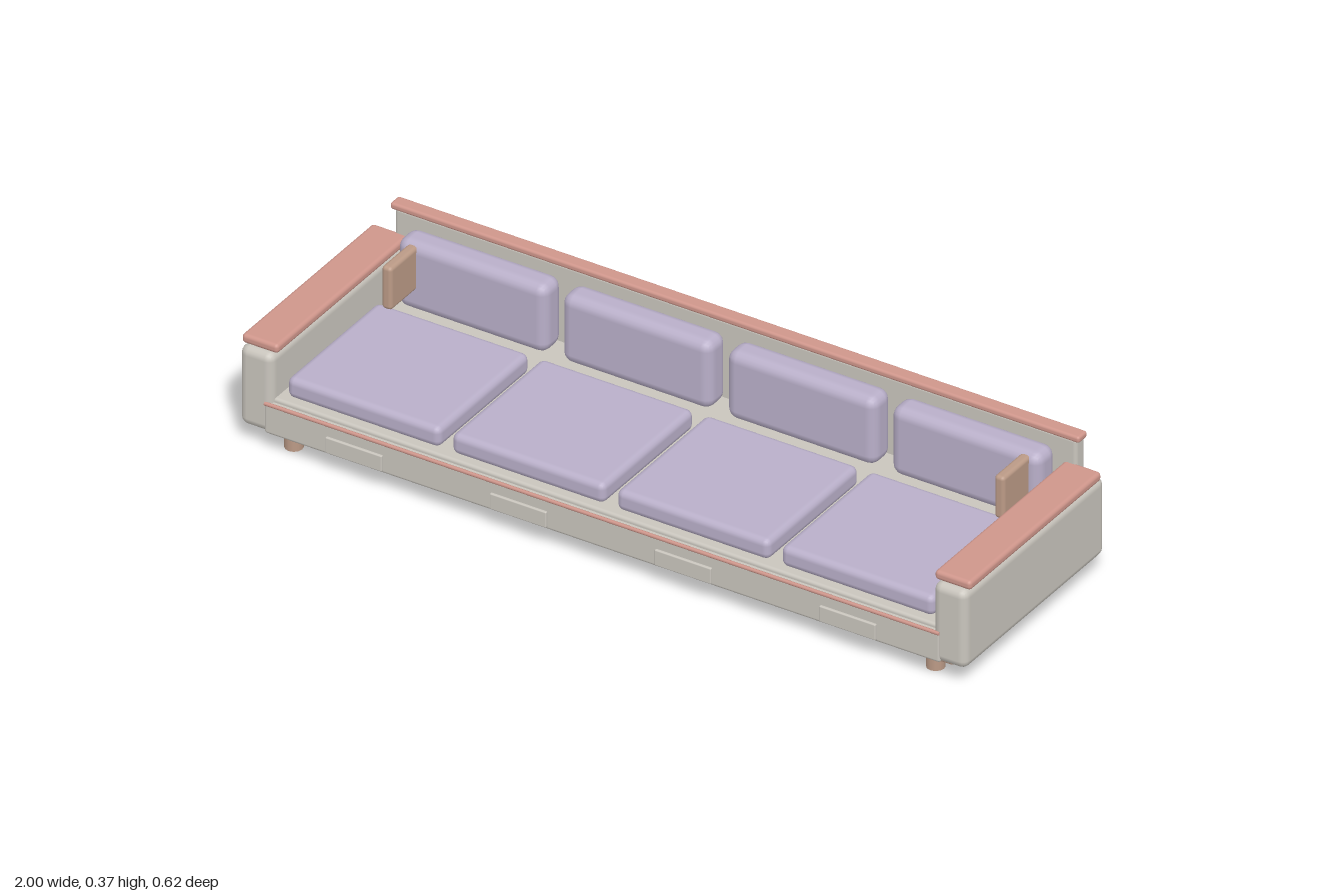
import * as THREE from 'three';
import { RoundedBoxGeometry } from 'three/addons/geometries/RoundedBoxGeometry.js';

const mat = (name, color) => {
  const m = new THREE.MeshStandardMaterial({ color });
  m.name = name;
  return m;
};

export function createModel() {
  const sofa = new THREE.Group();
  sofa.name = 'sofa';
  const fabric = mat('greyFabric', 0xc9c5bd);
  const rose = mat('roseTrim', 0xcf968b);
  const lavender = mat('lavenderCushion', 0xb9afc9);
  const wood = mat('wood', 0xbb9a86);

  // Rounded block given by its min and max on each axis
  const block = (name, material, [x0, x1], [y0, y1], [z0, z1], radius, segments = 2) => {
    const geo = new RoundedBoxGeometry(x1 - x0, y1 - y0, z1 - z0, segments, radius);
    const mesh = new THREE.Mesh(geo, material);
    mesh.name = name;
    mesh.position.set((x0 + x1) / 2, (y0 + y1) / 2, (z0 + z1) / 2);
    sofa.add(mesh);
    return mesh;
  };
  const around = (c, w) => [c - w / 2, c + w / 2];

  // Base, seat deck and plinth
  block('plinth', wood, [-0.94, 0.94], [0.03, 0.052], [-0.262, 0.268], 0.006);
  block('seatBase', fabric, [-0.927, 0.927], [0.052, 0.135], [-0.285, 0.305], 0.008);
  block('seatDeck', fabric, [-0.92, 0.92], [0.12, 0.146], [-0.28, 0.29], 0.008);

  // Piping along the front edge
  const piping = new THREE.Mesh(new THREE.CylinderGeometry(0.005, 0.005, 1.85, 8), rose);
  piping.name = 'frontPiping';
  piping.rotation.z = Math.PI / 2;
  piping.position.set(0, 0.133, 0.303);
  sofa.add(piping);

  // Backrest with its top rail
  block('backrest', fabric, [-0.935, 0.935], [0.085, 0.358], [-0.31, -0.272], 0.01);
  block('backRail', rose, [-0.945, 0.945], [0.352, 0.37], [-0.306, -0.268], 0.007);

  // Four seat cushions, back cushions and front panels
  for (const x of [-0.677, -0.226, 0.226, 0.677]) {
    block('seatCushion', lavender, around(x, 0.42), [0.144, 0.2], [-0.123, 0.271], 0.018);
    block('backCushion', lavender, around(x, 0.412), [0.146, 0.333], [-0.272, -0.194], 0.028);
    block('frontPanel', fabric, around(x, 0.155), [0.06, 0.103], [0.303, 0.312], 0.003);
  }

  for (const s of [-1, 1]) {
    const span = (a, b) => (s > 0 ? [a, b] : [-b, -a]);
    // Arm with a flat cap
    block('arm', fabric, span(0.905, 0.997), [0.052, 0.268], [-0.302, 0.304], 0.022);
    block('armCap', rose, span(0.9, 1), [0.265, 0.29], [-0.281, 0.287], 0.01);
    // Upright side board beside the outer back cushion
    block('sideBoard', wood, span(0.826, 0.854), [0.208, 0.325], [-0.21, -0.087], 0.01);
    // Legs
    for (const z of [-0.242, 0.248]) {
      const leg = new THREE.Mesh(new THREE.CylinderGeometry(0.023, 0.023, 0.048, 12), wood);
      leg.name = 'leg';
      leg.position.set(s * 0.88, 0.024, z);
      sofa.add(leg);
    }
  }
  return sofa;
}
